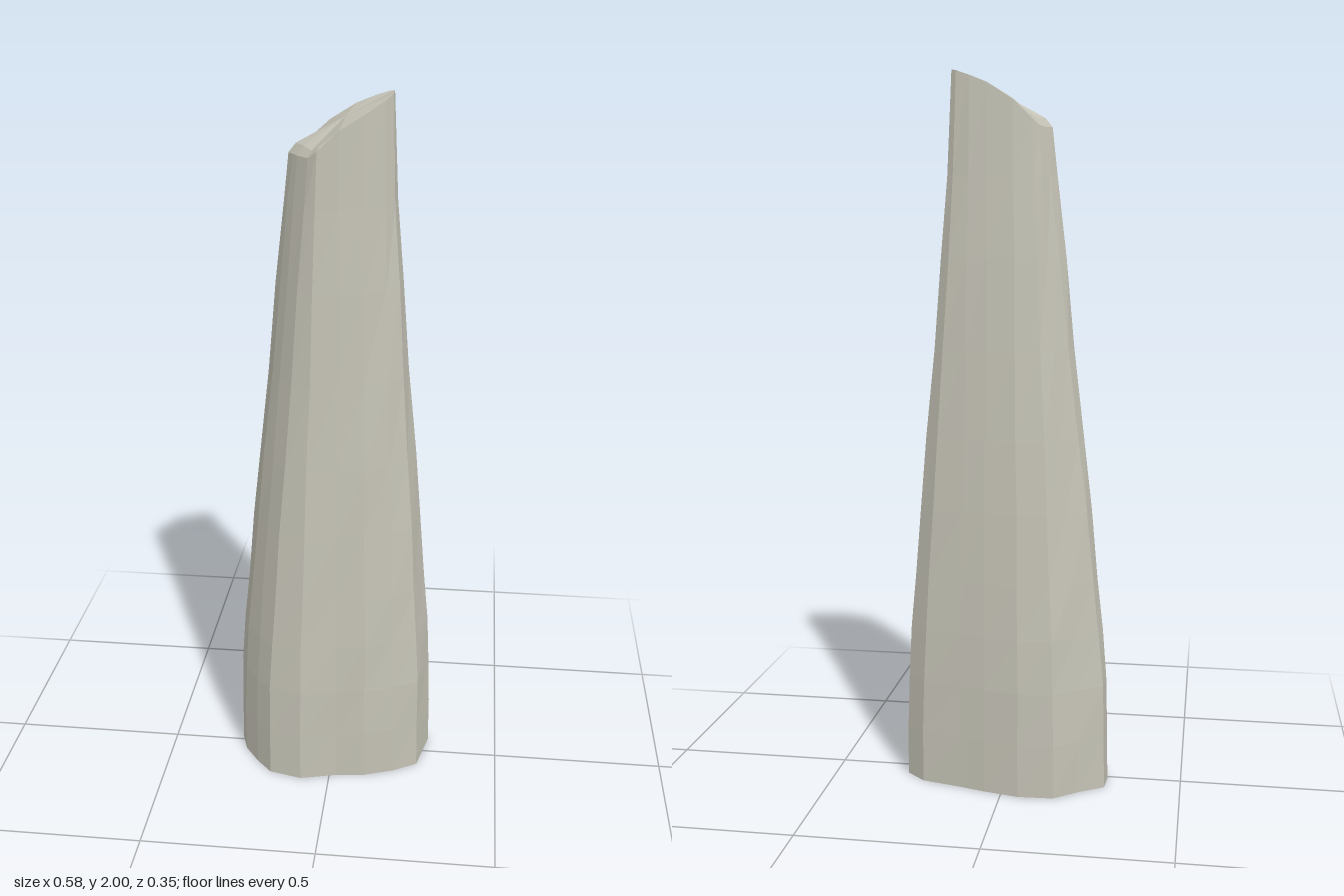
import * as THREE from 'three';

// Outline of the foot [x, z] and matching broken rim [x, y, z], running left-back to right to front
const FOOT = [
  [-0.285, -0.075], [-0.215, -0.12], [-0.15, -0.172], [-0.05, -0.177], [0.05, -0.155], [0.12, -0.135],
  [0.235, -0.108], [0.29, -0.06], [0.26, 0.068], [0.19, 0.108], [0.105, 0.138], [0.02, 0.148],
  [-0.085, 0.174], [-0.18, 0.152], [-0.225, 0.105], [-0.27, 0.045], [-0.29, -0.015],
];
const RIM = [
  [-0.1, 1.85, -0.02], [-0.085, 1.855, -0.04], [-0.07, 1.87, -0.055], [-0.02, 1.92, -0.068],
  [0.05, 1.965, -0.07], [0.1, 1.985, -0.07], [0.135, 1.997, -0.066], [0.149, 2, -0.056],
  [0.15, 2, -0.005], [0.13, 1.985, 0.02], [0.08, 1.955, 0.055], [0.02, 1.92, 0.08],
  [-0.035, 1.87, 0.09], [-0.06, 1.85, 0.075], [-0.09, 1.85, 0.045], [-0.105, 1.85, 0.025], [-0.118, 1.85, 0.005],
];
// Taper: height and blend from foot to rim
const TAPER = [[0, 0], [0.15, 0.01], [0.3, 0.04], [0.45, 0.11], [0.6, 0.2], [0.8, 0.32],
  [1, 0.45], [1.25, 0.62], [1.5, 0.77], [1.72, 0.91]];
const CENTRE = [0.03, 1.945, 0];
const N = FOOT.length;
const mix = THREE.MathUtils.lerp;

// Separate triangles, so every facet is flat
function meshFrom(name, triangles, material) {
  const geometry = new THREE.BufferGeometry();
  geometry.setAttribute('position', new THREE.Float32BufferAttribute(triangles.flat(), 3));
  geometry.computeVertexNormals();
  const mesh = new THREE.Mesh(geometry, material);
  mesh.name = name;
  return mesh;
}

// Triangles joining stacked rings
function loft(rings) {
  const out = [];
  for (let i = 0; i < rings.length - 1; i++) {
    for (let j = 0; j < N; j++) {
      const k = (j + 1) % N;
      const [a, b, c, d] = [rings[i][j], rings[i][k], rings[i + 1][j], rings[i + 1][k]];
      out.push(a, c, b, b, c, d);
    }
  }
  return out;
}

export function createModel() {
  const group = new THREE.Group();
  group.name = 'standingStone';
  const stone = new THREE.MeshStandardMaterial({ color: 0xc4c2b5 });
  stone.name = 'pale grey stone';

  // Tapering shaft with slightly uneven facets
  const rings = TAPER.map(([y, t], i) => FOOT.map(([x, z], j) => {
    const wobble = i ? 0.0015 * Math.sin(i * 2.3 + j * 1.9) : 0;
    return [mix(x, RIM[j][0], t) + wobble, y, mix(z, RIM[j][2], t) + wobble];
  }));
  group.add(meshFrom('shaft', loft([...rings, RIM]), stone));

  // Sloping broken top, with a worn lip that rises towards the low side
  const lip = RIM.map(([x, y, z]) => {
    const low = THREE.MathUtils.clamp(-x / 0.09, 0, 1);
    const s = 0.04 + 0.09 * low;
    return [mix(x, CENTRE[0], s), mix(y, CENTRE[1], s) + 0.012 * low, mix(z, CENTRE[2], s)];
  });
  const top = loft([RIM, lip]);
  lip.forEach((p, j) => top.push(CENTRE, lip[(j + 1) % N], p));
  group.add(meshFrom('brokenTop', top, stone));

  // Flat underside
  const under = [];
  rings[0].forEach((p, j) => under.push([0, 0, 0], p, rings[0][(j + 1) % N]));
  group.add(meshFrom('underside', under, stone));
  return group;
}
